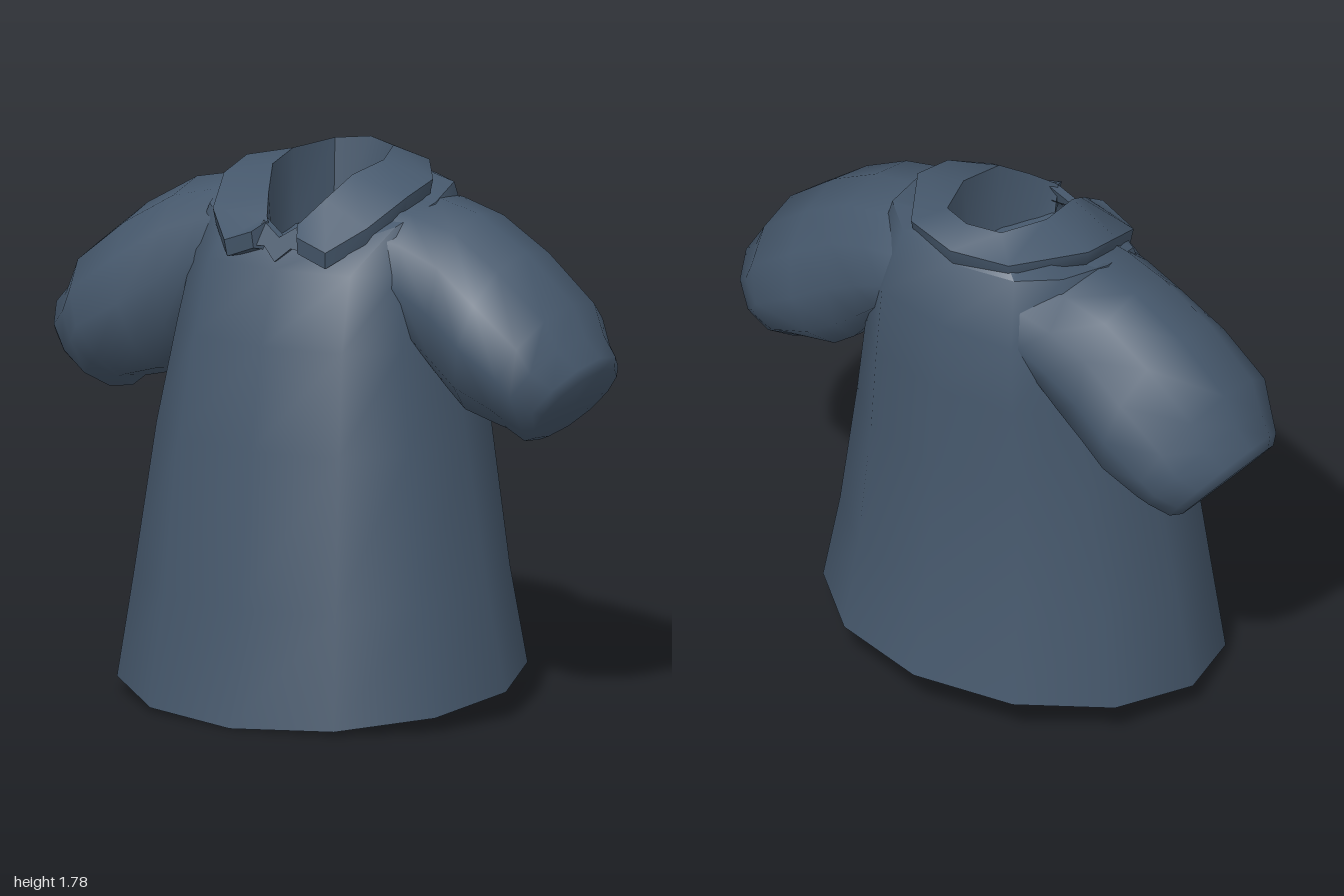
import * as THREE from 'three';
import { toCreasedNormals } from 'three/addons/utils/BufferGeometryUtils.js';

const cloth = new THREE.MeshStandardMaterial({ color: 0x46586c, side: THREE.DoubleSide });
cloth.name = 'slate blue cloth';

// Raise to a power but keep the sign; powers below 1 make a ring boxier.
const bend = (v, power) => Math.sign(v) * Math.abs(v) ** power;

// Skin a list of closed rings of [x, y, z]; optionally close the two ends with fans.
function loft(rings, { capStart = false, capEnd = false, crease = 0.8 } = {}) {
  const n = rings[0].length;
  const points = rings.flat();
  const index = [];
  for (let i = 0; i < rings.length - 1; i++) {
    for (let j = 0; j < n; j++) {
      const k = (j + 1) % n;
      const a = i * n + j, b = i * n + k, c = a + n, d = b + n;
      index.push(a, b, d, a, d, c);
    }
  }
  const cap = (ring, flip) => {
    const base = ring * n, centre = points.length;
    points.push([0, 1, 2].map((k) => rings[ring].reduce((s, p) => s + p[k], 0) / n));
    for (let j = 0; j < n; j++) {
      const a = base + j, b = base + ((j + 1) % n);
      index.push(...(flip ? [centre, b, a] : [centre, a, b]));
    }
  };
  if (capStart) cap(0, true);
  if (capEnd) cap(rings.length - 1, false);
  const geometry = new THREE.BufferGeometry();
  geometry.setAttribute('position', new THREE.Float32BufferAttribute(points.flat(), 3));
  geometry.setIndex(index);
  return toCreasedNormals(geometry, crease);
}

// Twelve-sided body ring: height, tilt, half width, front z, back z,
// squareness power and extra height at the sides.
function bodyRing([y, tilt, width, front, back, power = 1, lift = 0], scale = 1) {
  const mid = (front + back) / 2, half = (front - back) / 2;
  return Array.from({ length: 12 }, (_, i) => {
    const a = (i / 12) * Math.PI * 2;
    const x = bend(Math.sin(a), power), z = mid + bend(Math.cos(a), power) * half * scale;
    return [x * width * scale, y - z * tilt + lift * x * x, z];
  });
}

// Twelve-sided sleeve ring spanned by its upper and lower point, half depth, centre z and squareness.
function sleeveRing([tx, ty, bx, by, depth, z = -0.085, power = 1]) {
  return Array.from({ length: 12 }, (_, i) => {
    const a = (i / 12) * Math.PI * 2;
    const c = bend(Math.cos(a), power) / 2;
    return [
      (tx + bx) / 2 + (tx - bx) * c,
      (ty + by) / 2 + (ty - by) * c,
      z + bend(Math.sin(a), power) * depth,
    ];
  });
}

export function createModel() {
  const shirt = new THREE.Group();
  shirt.name = 'shirt';
  const add = (name, geometry) => {
    const mesh = new THREE.Mesh(geometry, cloth);
    mesh.name = name;
    shirt.add(mesh);
  };

  // Flared body with square shoulders
  const profile = [
    [0.075, 0.13, 0.69, 0.575, -0.575, 1, 0.015],
    [0.42, 0.08, 0.62, 0.52, -0.515, 0.93],
    [0.9, 0.03, 0.535, 0.445, -0.465, 0.83],
    [1.22, 0, 0.47, 0.38, -0.46, 0.76],
    [1.46, 0, 0.43, 0.3, -0.44, 0.7],
    [1.585, 0.22, 0.39, 0.255, -0.375, 0.78, 0.06],
    [1.64, 0.38, 0.2, 0.24, -0.3],
  ];
  add('body', loft(profile.map((p) => bodyRing(p)), { crease: 1 }));

  // Thick hem edge and domed lining
  add('hem', loft([bodyRing(profile[0]), bodyRing(profile[0], 0.87)]));
  add('lining', loft([
    bodyRing(profile[0], 0.87),
    bodyRing([0.33, 0.09, 0.55, 0.46, -0.46]),
    bodyRing([0.52, 0, 0.4, 0.33, -0.33]),
    bodyRing([0.59, 0, 0.2, 0.17, -0.17]),
  ], { capEnd: true, crease: 1.5 }));

  // Floor inside the neck opening
  add('neckFloor', loft([
    bodyRing([1.52, 0.05, 0.2, 0.24, -0.3]),
    bodyRing([1.5, 0.05, 0.1, 0.14, -0.2]),
  ], { capEnd: true }));

  // Puffed sleeves that flow out of the shoulders and end in a bevelled, closed cuff
  const sleeve = [
    [0.2, 1.675, 0.36, 1.25, 0.29, -0.1, 0.82],
    [0.37, 1.665, 0.425, 1.15, 0.285, -0.1, 0.82],
    [0.53, 1.63, 0.495, 1.055, 0.285, -0.098, 0.88],
    [0.71, 1.525, 0.57, 0.99, 0.31, -0.09, 0.95],
    [0.89, 1.375, 0.69, 0.96, 0.31],
    [0.935, 1.27, 0.715, 0.955, 0.285],
    [0.995, 1.21, 0.765, 0.915, 0.235],
    [1.0, 1.17, 0.8, 0.93, 0.2],
  ];
  for (const [name, side] of [['leftSleeve', 1], ['rightSleeve', -1]]) {
    const rings = sleeve.map((p) => sleeveRing(p).map(([x, y, z]) => [x * side, y, z]));
    add(name, loft(rings, { capEnd: true, crease: 1 }));
  }

  // Folded collar: inner (upper) and outer (lower) edge from the back to the front tip
  const half = [
    [[0, 1.785, -0.3], [0, 1.725, -0.385]],
    [[0.11, 1.775, -0.26], [0.2, 1.725, -0.335]],
    [[0.17, 1.765, -0.1], [0.35, 1.72, -0.11]],
    [[0.15, 1.745, 0.06], [0.345, 1.69, 0.04]],
    [[0.105, 1.675, 0.16], [0.29, 1.61, 0.2]],
    [[0.065, 1.615, 0.235], [0.19, 1.535, 0.295]],
    [[0.055, 1.605, 0.245], [0.085, 1.575, 0.3]],
  ];
  const flip = ([x, y, z]) => [-x, y, z];
  const stations = [...half.slice(1).reverse().map((s) => s.map(flip)), ...half];
  add('collar', loft(stations.map(([inner, outer]) => [
    inner,
    outer,
    [outer[0] * 0.97, outer[1] - 0.055, outer[2] * 0.97],
    [inner[0] * 0.9, 1.5, inner[2] * 0.9],
  ]), { capStart: true, capEnd: true, crease: 0.75 }));

  // Small pointed placket under the collar tips, leaning forward towards its point
  const shape = new THREE.Shape([
    [-0.07, 1.605], [0, 1.56], [0.07, 1.605], [0.1, 1.525],
    [0.05, 1.53], [0, 1.485], [-0.05, 1.53], [-0.1, 1.525],
  ].map(([x, y]) => new THREE.Vector2(x, y)));
  const placket = new THREE.ExtrudeGeometry(shape, { depth: 0.03, bevelEnabled: false });
  const position = placket.attributes.position;
  for (let i = 0; i < position.count; i++) {
    position.setZ(i, position.getZ(i) + 0.22 + (1.605 - position.getY(i)) * 0.4);
  }
  placket.computeVertexNormals();
  add('placket', placket);

  return shirt;
}
